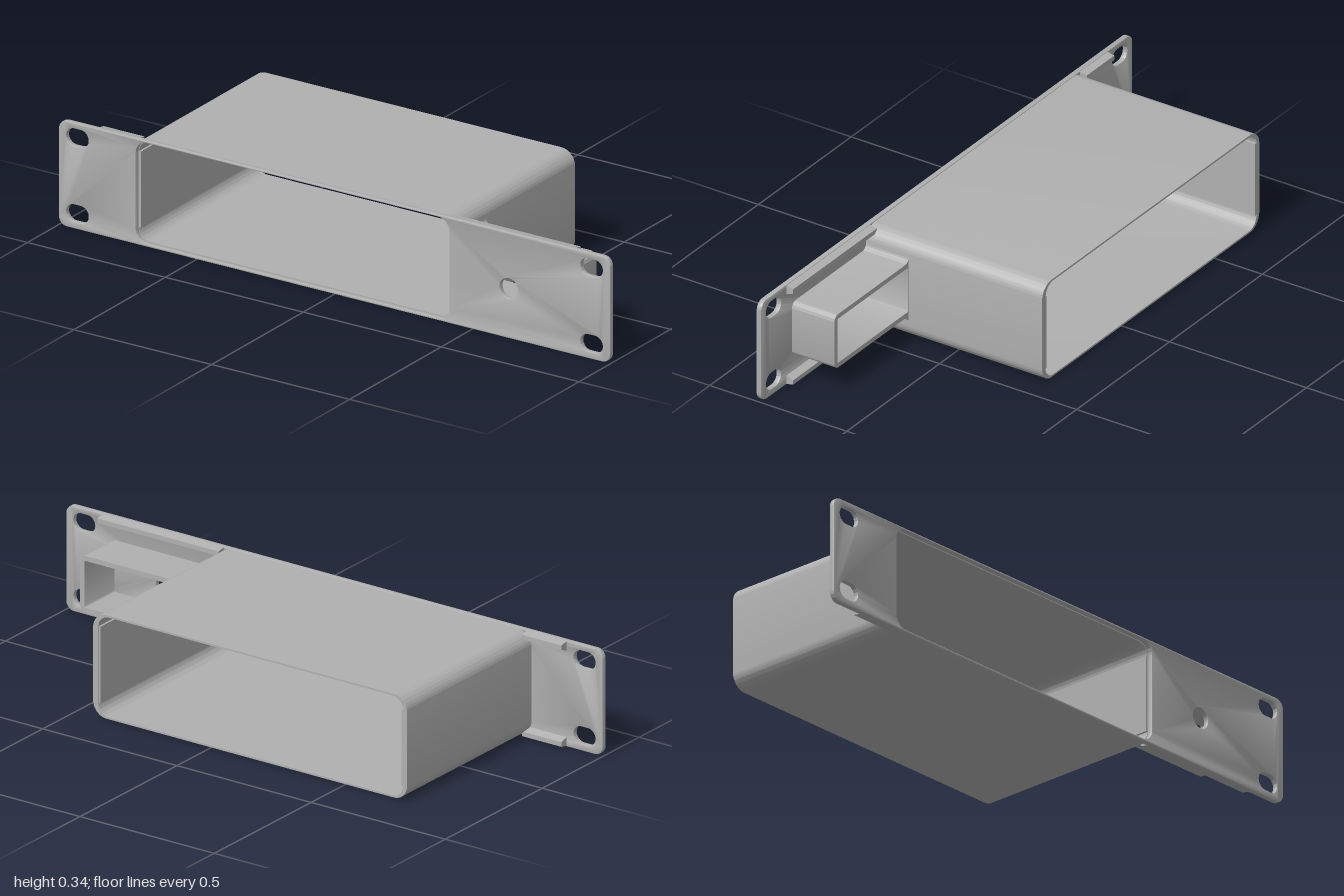
import * as THREE from 'three';
import { toCreasedNormals } from 'three/addons/utils/BufferGeometryUtils.js';

const grey = new THREE.MeshStandardMaterial({ color: 0xb0b0b0 });
grey.name = 'plain grey';

// Rounded rectangle from corner coordinates, as a Shape or a Path
function roundRect(x0, y0, x1, y1, r, path = new THREE.Shape()) {
  path.moveTo(x0 + r, y0);
  path.lineTo(x1 - r, y0);
  path.absarc(x1 - r, y0 + r, r, -Math.PI / 2, 0);
  path.lineTo(x1, y1 - r);
  path.absarc(x1 - r, y1 - r, r, 0, Math.PI / 2);
  path.lineTo(x0 + r, y1);
  path.absarc(x0 + r, y1 - r, r, Math.PI / 2, Math.PI);
  path.lineTo(x0, y0 + r);
  path.absarc(x0 + r, y0 + r, r, Math.PI, Math.PI * 1.5);
  return path;
}
const hole = (...a) => roundRect(...a, new THREE.Path());

// Extrude a shape from z0 to z1, keeping sharp edges sharp
function extrude(name, shape, z0, z1, bevel = 0) {
  const geo = new THREE.ExtrudeGeometry(shape, {
    depth: z1 - z0 - 2 * bevel, curveSegments: 10, bevelEnabled: bevel > 0,
    bevelSize: bevel, bevelThickness: bevel, bevelOffset: -bevel, bevelSegments: 2,
  });
  geo.translate(0, 0, z0 + bevel);
  const mesh = new THREE.Mesh(toCreasedNormals(geo, 0.6), grey);
  mesh.name = name;
  return mesh;
}

export function createModel() {
  const model = new THREE.Group();
  model.name = 'rackMountBracket';
  const H = 0.345, back = 0.312;

  // Front panel with the main opening, four slots and the round socket hole
  const panel = roundRect(-1, 0, 1, H, 0.03);
  panel.holes.push(hole(-0.72, 0.008, 0.416, 0.338, 0.04));
  for (const x of [-0.932, 0.932])
    for (const y of [0.05, 0.298])
      panel.holes.push(hole(x - 0.04, y - 0.028, x + 0.04, y + 0.028, 0.0279));
  panel.holes.push(new THREE.Path().absarc(0.632, 0.162, 0.033, 0, Math.PI * 2));
  model.add(extrude('frontPanel', panel, back, 0.33, 0.003));

  // Long open sleeve behind the panel
  const sleeve = roundRect(-0.735, 0.004, 0.435, 0.342, 0.05);
  sleeve.holes.push(hole(-0.72, 0.01, 0.416, 0.336, 0.04));
  model.add(extrude('sleeve', sleeve, -0.33, back));

  // Thin liners on the sleeve's inner side walls
  for (const [name, x] of [['rightLiner', -0.717], ['leftLiner', 0.413]]) {
    const liner = new THREE.Mesh(new THREE.BoxGeometry(0.008, 0.25, 0.64), grey);
    liner.name = name;
    liner.position.set(x, 0.173, -0.009);
    model.add(liner);
  }

  // Open-backed socket housing, flaring into the sleeve's side wall
  const x0 = 0.434, x1 = 0.835, y0 = 0.085, y1 = 0.27, r = 0.022;
  const housing = new THREE.Shape();
  housing.moveTo(x0, y0 - r);
  housing.absarc(x0 + r, y0 - r, r, Math.PI, Math.PI / 2, true);
  housing.lineTo(x1 - r, y0);
  housing.absarc(x1 - r, y0 + r, r, -Math.PI / 2, 0);
  housing.lineTo(x1, y1 - r);
  housing.absarc(x1 - r, y1 - r, r, 0, Math.PI / 2);
  housing.lineTo(x0 + r, y1);
  housing.absarc(x0 + r, y1 + r, r, -Math.PI / 2, -Math.PI, true);
  housing.closePath();
  housing.holes.push(hole(0.438, y0 + 0.016, x1 - 0.016, y1 - 0.016, 0.006));
  model.add(extrude('socketHousing', housing, 0.157, back));

  // Tapered stiffening ribs along the panel's top and bottom edges
  const spans = [['right', -0.865, -0.717], ['left', 0.413, 0.865]];
  for (const [side, a, b] of spans) {
    for (const top of [true, false]) {
      const pts = [[back, 0.343], [back, 0.314], [0.287, 0.323], [0.287, 0.338]]
        .map(([z, y]) => new THREE.Vector2(-z, top ? y : H - y));
      const rib = extrude(side + (top ? 'TopRib' : 'BottomRib'), new THREE.Shape(pts), 0, b - a);
      rib.rotation.y = Math.PI / 2; // profile x becomes -z, extrusion runs along +x
      rib.position.x = a;
      model.add(rib);
    }
  }
  return model;
}
